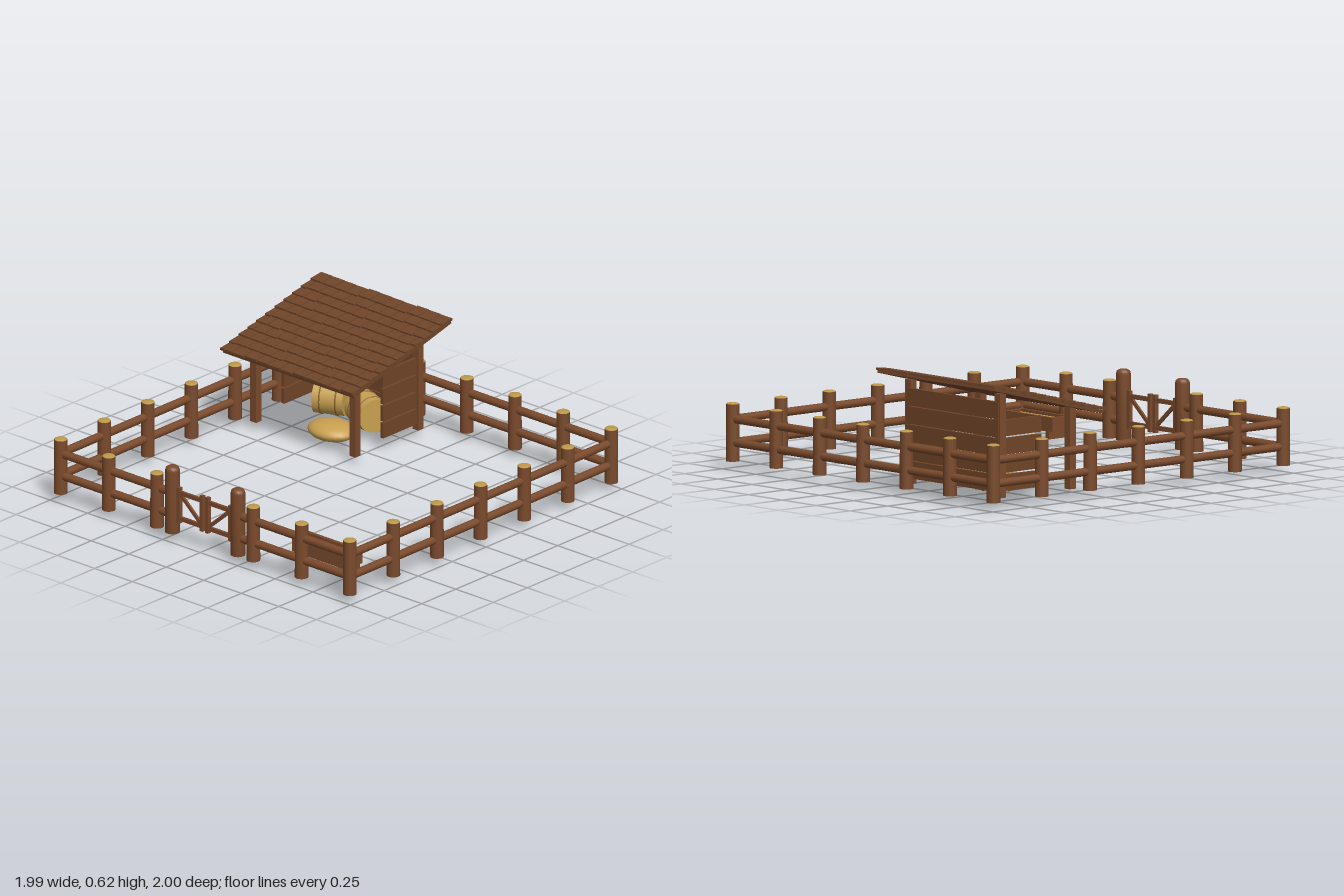
import * as THREE from 'three';

const material = (name, hex) => {
  const m = new THREE.MeshStandardMaterial({ color: hex });
  m.name = name;
  return m;
};

export function createModel() {
  const wood = material('wood', 0x7a4a2c);
  const plankWood = material('plank wood', 0x704428);
  const shingleWood = material('shingle wood', 0x6f4529);
  const endGrain = material('end grain', 0xbd9848);
  const hay = material('hay', 0xc8a050);
  const twine = material('twine', 0x8a6430);

  const root = new THREE.Group();
  root.name = 'paddock';
  const group = (name, parent = root) => {
    const g = new THREE.Group();
    g.name = name;
    parent.add(g);
    return g;
  };
  const mesh = (parent, name, geo, mat, x = 0, y = 0, z = 0) => {
    const m = new THREE.Mesh(geo, mat);
    m.name = name;
    m.position.set(x, y, z);
    parent.add(m);
    return m;
  };
  const box = (parent, name, mat, w, h, d, x, y, z) =>
    mesh(parent, name, new THREE.BoxGeometry(w, h, d), mat, x, y, z);

  // Fence: round posts with pale sawn tops
  const F = 0.963, step = F / 3, ground = 0.04;
  const fence = group('fence');
  const postGeo = new THREE.CylinderGeometry(0.033, 0.034, 0.285, 16);
  const capGeo = new THREE.SphereGeometry(0.033, 16, 4, 0, Math.PI * 2, 0, Math.PI / 2).scale(1, 0.25, 1);
  const post = (x, z) => {
    mesh(fence, 'fencePost', postGeo, wood, x, ground + 0.1425, z);
    mesh(fence, 'postTop', capGeo, endGrain, x, ground + 0.285, z);
  };
  for (let i = -3; i <= 3; i++) {
    post(i * step, -F);
    if (i !== 0) post(i * step, F);
    if (Math.abs(i) < 3) {
      post(-F, i * step);
      post(F, i * step);
    }
  }

  // Two round rails on every side, open at the gate
  const gateX = 0.218;
  const rail = (x, y, z, length, alongX) => {
    const r = mesh(fence, 'fenceRail', new THREE.CylinderGeometry(0.021, 0.021, length, 12), wood, x, y, z);
    if (alongX) r.rotation.z = Math.PI / 2;
    else r.rotation.x = Math.PI / 2;
  };
  for (const y of [0.133, 0.25]) {
    rail(0, y, -F, 2 * F, true);
    for (const s of [-1, 1]) {
      rail(s * F, y, 0, 2 * F, false);
      rail(s * (F + gateX) / 2, y, F, F - gateX, true);
    }
  }

  // Gate: tall domed posts and two braced leaves
  const gate = group('gate');
  const gatePostGeo = new THREE.LatheGeometry(
    [[0, 0], [0.037, 0], [0.037, 0.33], [0.033, 0.345], [0.022, 0.352], [0, 0.355]]
      .map(([r, y]) => new THREE.Vector2(r, y)), 16);
  for (const s of [-1, 1]) {
    mesh(gate, 'gatePost', gatePostGeo, wood, s * gateX, ground, F);
    const leaf = group(s > 0 ? 'leftLeaf' : 'rightLeaf', gate);
    box(leaf, 'innerStile', wood, 0.02, 0.19, 0.022, s * 0.018, 0.195, F);
    box(leaf, 'outerStile', wood, 0.02, 0.19, 0.022, s * 0.172, 0.195, F);
    for (const y of [0.125, 0.262]) box(leaf, 'leafRail', wood, 0.17, 0.022, 0.014, s * 0.095, y, F);
    const brace = box(leaf, 'brace', wood, 0.2, 0.018, 0.012, s * 0.095, 0.195, F);
    brace.rotation.z = s * Math.atan2(0.13, 0.15);
  }

  // Shed frame
  const shed = group('shed');
  const sideX = 0.33, midX = -0.531;
  for (const s of [-1, 1]) {
    const x = midX + s * sideX;
    box(shed, 'frontPost', wood, 0.04, 0.41, 0.04, x, ground + 0.205, -0.362);
    box(shed, 'backPost', wood, 0.04, 0.52, 0.04, x, ground + 0.26, -0.826);
    // Short plank side walls
    for (let i = 0; i < 4; i++)
      box(shed, 'sidePlank', plankWood, 0.018, 0.081, 0.26, x, 0.112 + i * 0.091, -0.69);
  }
  // Back wall planks
  for (let i = 0; i < 5; i++)
    box(shed, 'backPlank', plankWood, 0.68, 0.086, 0.018, midX, 0.112 + i * 0.091, -0.84);

  // Sloping roof with staggered shingles
  const roof = group('roof', shed);
  roof.position.set(midX, 0.512, -0.594);
  roof.rotation.x = 0.245;
  const roofW = 0.882, roofL = 0.75, rows = 11, cols = 11;
  box(roof, 'roofBoard', shingleWood, roofW - 0.01, 0.016, roofL - 0.01, 0, 0, 0);
  const pitch = roofL / rows, cell = roofW / cols;
  for (let r = 0; r < rows; r++) {
    const offset = r % 2 ? -0.5 : 0;
    for (let c = 0; c <= cols; c++) {
      const a = Math.max(0, (c + offset) * cell);
      const b = Math.min(roofW, (c + 1 + offset) * cell);
      if (b - a < 0.01) continue;
      const jag = (((r * 7 + c * 5) % 4) - 1.5) * 0.002;
      const tile = box(roof, 'shingle', shingleWood, b - a - 0.005, 0.012, pitch + 0.012,
        (a + b) / 2 - roofW / 2, 0.015, -roofL / 2 + (r + 0.5) * pitch + jag);
      tile.rotation.x = -0.13;
    }
  }

  // Round hay bales tied with twine
  const bale = (x, z, turn) => {
    const g = group('hayBale');
    g.position.set(x, 0.127, z);
    g.rotation.y = turn;
    const roll = mesh(g, 'hayRoll', new THREE.CylinderGeometry(0.088, 0.088, 0.16, 20), hay);
    roll.rotation.z = Math.PI / 2;
    for (const s of [-1, 1]) {
      const band = mesh(g, 'twineBand', new THREE.TorusGeometry(0.088, 0.004, 6, 24), twine, s * 0.042);
      band.rotation.y = Math.PI / 2;
    }
  };
  bale(-0.65, -0.69, 0.42);
  bale(-0.4, -0.675, -0.35);

  // Loose hay heap
  mesh(root, 'hayHeap', new THREE.SphereGeometry(1, 24, 14).scale(0.13, 0.048, 0.105), hay, -0.495, 0.048, -0.515);

  // Feeding trough
  const trough = group('trough');
  trough.position.set(0.627, 0, 0.758);
  box(trough, 'troughFloor', wood, 0.35, 0.015, 0.11, 0, 0.084, 0);
  box(trough, 'feed', hay, 0.325, 0.045, 0.085, 0, 0.112, 0);
  for (const s of [-1, 1]) {
    box(trough, 'longSide', wood, 0.36, 0.072, 0.018, 0, 0.113, s * 0.051);
    box(trough, 'shortSide', wood, 0.018, 0.072, 0.1, s * 0.171, 0.113, 0);
    box(trough, 'foot', wood, 0.026, 0.038, 0.128, s * 0.147, ground + 0.019, 0);
  }
  return root;
}
